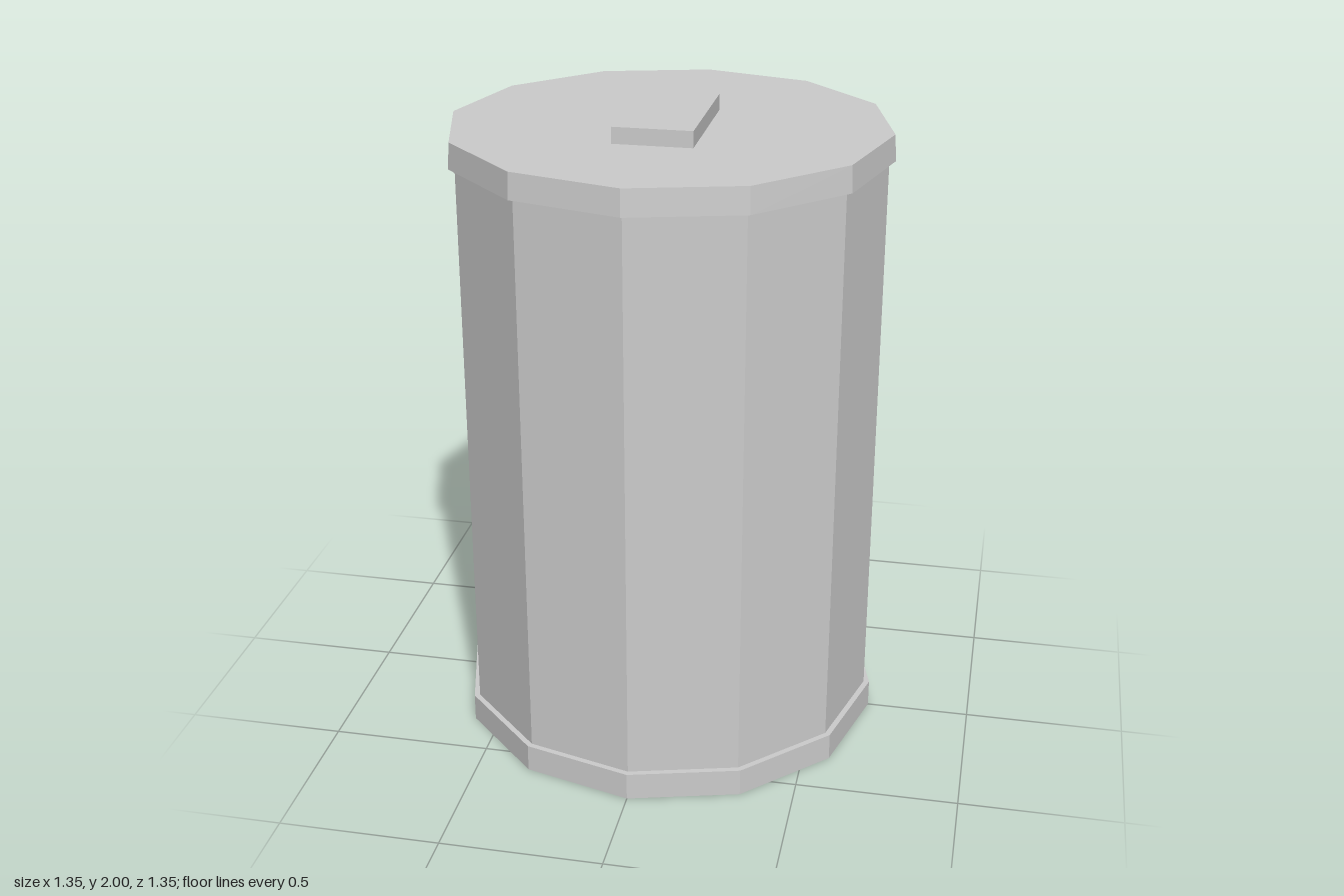
import * as THREE from 'three';

export function createModel() {
  const group = new THREE.Group();
  const grey = new THREE.MeshStandardMaterial({ color: 0xcccccc, flatShading: true });
  grey.name = 'light grey metal';

  const add = (name, geometry, y, z = 0) => {
    const mesh = new THREE.Mesh(geometry, grey);
    mesh.name = name;
    mesh.position.set(0, y, z);
    group.add(mesh);
  };

  // twelve-sided drum section between two heights
  const drum = (name, topRadius, bottomRadius, y0, y1) =>
    add(name, new THREE.CylinderGeometry(topRadius, bottomRadius, y1 - y0, 12), (y0 + y1) / 2);

  drum('base', 0.674, 0.674, 0, 0.087);
  drum('body', 0.656, 0.656, 0.087, 1.87);
  drum('lid', 0.67, 0.675, 1.87, 1.95);

  // flat grip, set slightly towards the front
  add('lidHandle', new THREE.BoxGeometry(0.24, 0.05, 0.43), 1.975, 0.042);

  return group;
}
